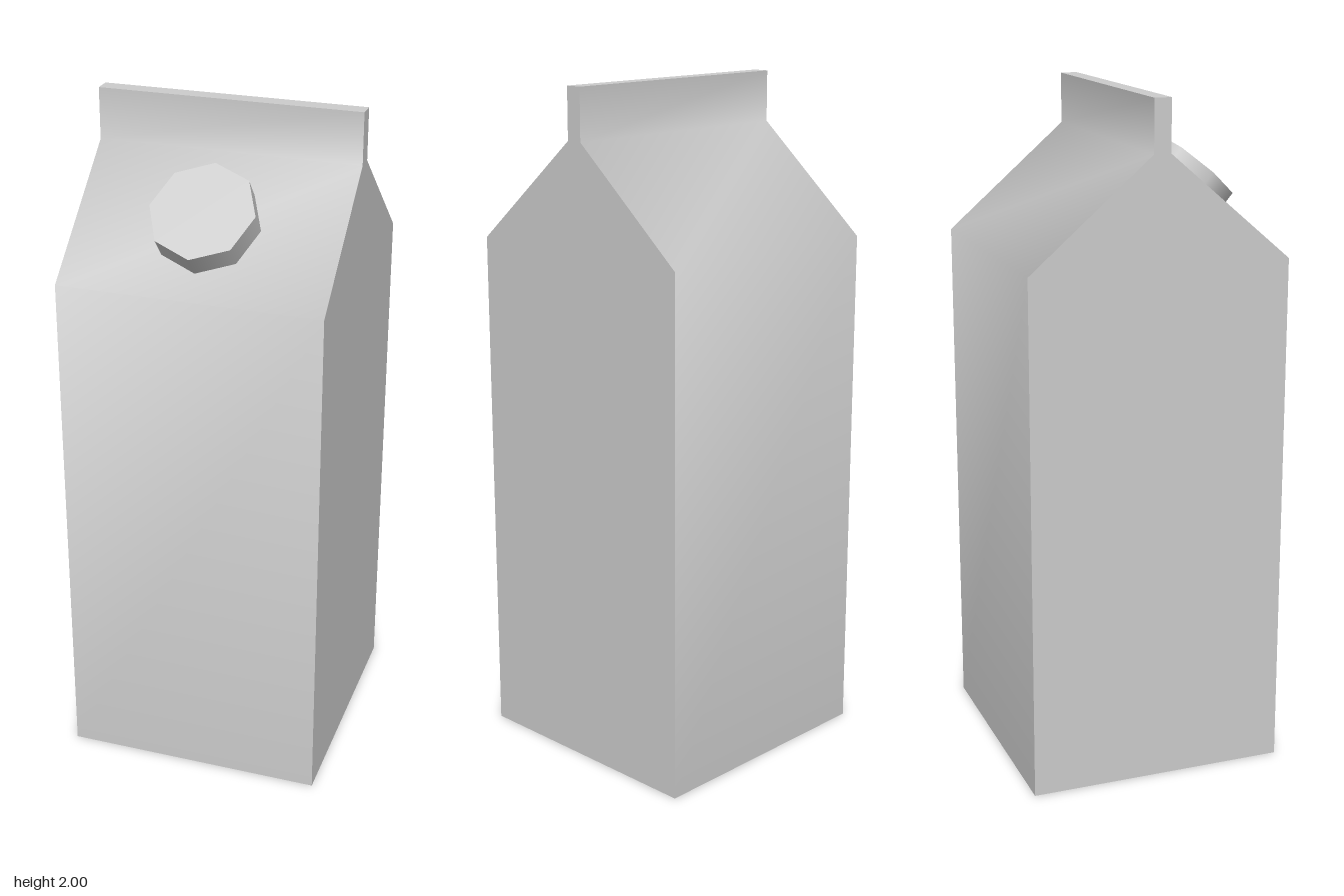
import * as THREE from 'three';
import { toCreasedNormals } from 'three/addons/utils/BufferGeometryUtils.js';

export function createModel() {
  const group = new THREE.Group();
  group.name = 'carton';
  const card = new THREE.MeshStandardMaterial({ color: 0xcccccc });
  card.name = 'grey card';

  const half = 0.385;                       // half width and depth
  const shoulderY = 1.54, neckY = 1.85, topY = 2, finHalf = 0.025;

  // Carton body: side profile (z, y) with gabled roof and top fin, extruded across x
  const frontEdge = [[half, 0], [half, shoulderY], [finHalf, neckY], [finHalf, topY]];
  const backEdge = frontEdge.map(([z, y]) => [-z, y]).reverse();
  const profile = new THREE.Shape([...frontEdge, ...backEdge].map(([z, y]) => new THREE.Vector2(z, y)));
  const bodyGeometry = new THREE.ExtrudeGeometry(profile, { depth: half * 2, bevelEnabled: false });
  bodyGeometry.translate(0, 0, -half).rotateY(-Math.PI / 2);
  // Soft bends along the front and back, sharp corners elsewhere
  const body = new THREE.Mesh(toCreasedNormals(bodyGeometry, 1.05), card);
  body.name = 'cartonBody';
  group.add(body);

  // Eight-sided screw cap standing square to the front roof slope
  const capHeight = 0.076, sunk = 0.005;
  const tilt = Math.atan2(neckY - shoulderY, half - finHalf);
  const capGeometry = new THREE.CylinderGeometry(0.152, 0.152, capHeight + sunk, 8);
  capGeometry.translate(0, (capHeight - sunk) / 2, 0);
  const cap = new THREE.Mesh(capGeometry, card);
  cap.name = 'screwCap';
  cap.position.set(0, 1.697, 0.203);
  cap.rotation.x = tilt;
  group.add(cap);

  return group;
}
